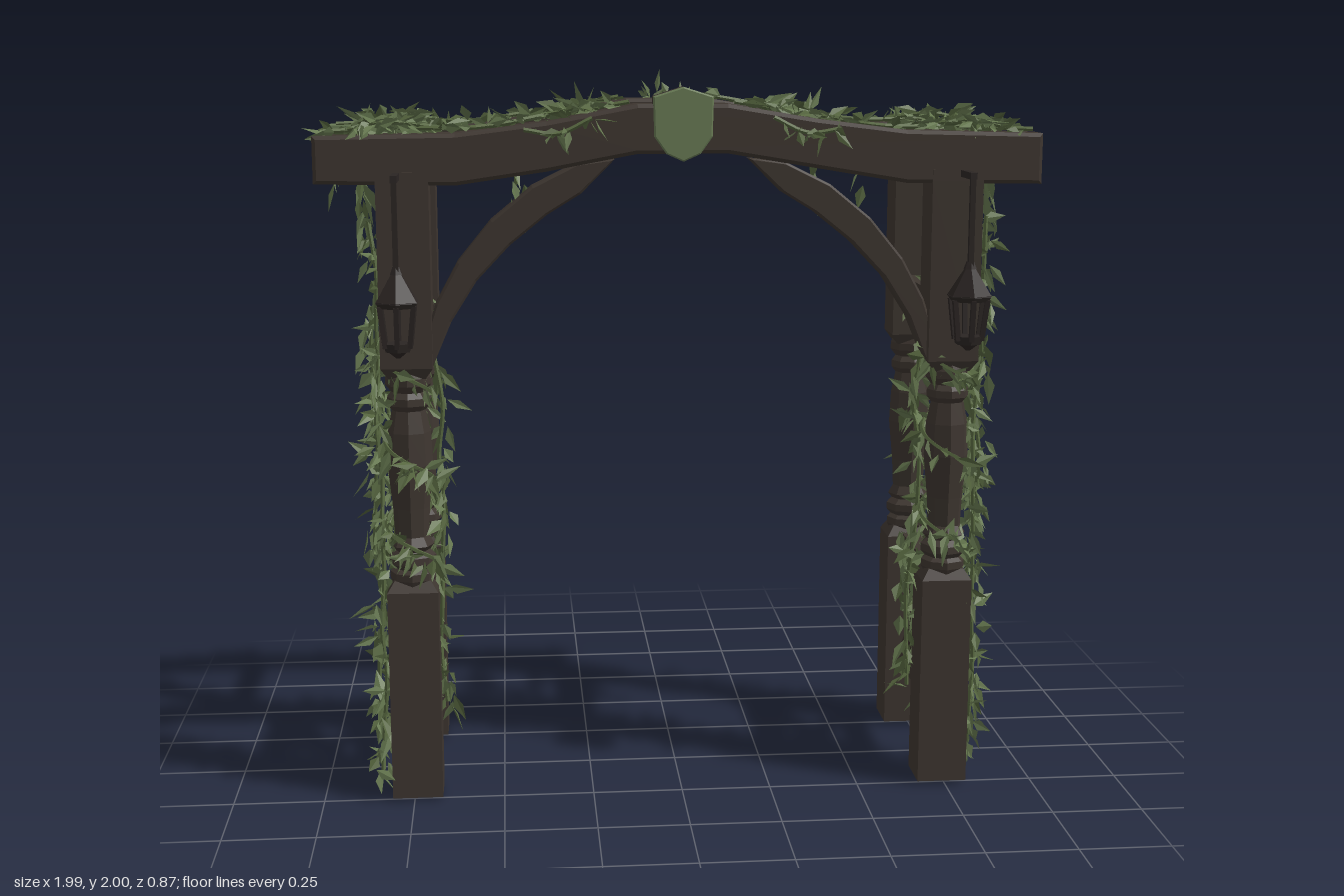
import * as THREE from 'three';
import { mergeGeometries } from 'three/addons/utils/BufferGeometryUtils.js';

const V = (x, y, z) => new THREE.Vector3(x, y, z);
const material = (name, color, side = THREE.FrontSide) => {
  const m = new THREE.MeshStandardMaterial({ color, side });
  m.name = name;
  return m;
};

export function createModel() {
  const root = new THREE.Group();
  root.name = 'overgrownArbor';
  const wood = material('dark wood', 0x3e3630);
  const iron = material('dark iron', 0x2b2523);
  const moss = material('moss', 0x697b55);
  const leafLight = material('leaf', 0x65774f, THREE.DoubleSide);
  const leafDark = material('shaded leaf', 0x56663f, THREE.DoubleSide);

  let seed = 7;
  const rnd = (a = 0, b = 1) => {
    seed = (seed * 16807) % 2147483647;
    return a + (b - a) * (seed / 2147483647);
  };

  // Faceted mesh with flat normals
  function add(name, geo, mat, parent = root) {
    const g = geo.index ? geo.toNonIndexed() : geo;
    g.computeVertexNormals();
    const mesh = new THREE.Mesh(g, mat);
    mesh.name = name;
    parent.add(mesh);
    return mesh;
  }
  // Extruded outline in x, y with small worn bevels, spanning z0..z1
  function plank(points, z0, z1, b = 0.01) {
    const shape = new THREE.Shape(points.map(p => new THREE.Vector2(p[0], p[1])));
    const g = new THREE.ExtrudeGeometry(shape, {
      depth: z1 - z0 - 2 * b, bevelEnabled: true, bevelSize: b, bevelOffset: -b, bevelThickness: b, bevelSegments: 1
    });
    return g.translate(0, 0, z0 + b);
  }
  // Rectangular bar between two points
  function bar(name, a, b, w, mat = wood, parent = root, d = w) {
    const m = add(name, new THREE.BoxGeometry(w, d, a.distanceTo(b)), mat, parent);
    m.position.copy(a).add(b).multiplyScalar(0.5);
    m.quaternion.setFromUnitVectors(V(0, 0, 1), b.clone().sub(a).normalize());
    return m;
  }

  // Posts: square foot, turned middle, square head
  const zFront = 0.21, zBack = -0.285, postX = 0.74;
  const turned = [[0.045, 0.59], [0.062, 0.62], [0.062, 0.64], [0.05, 0.65], [0.064, 0.665], [0.064, 0.685], [0.048, 0.70],
    [0.06, 0.715], [0.046, 0.74], [0.05, 0.82], [0.062, 0.94], [0.058, 1.03], [0.046, 1.09], [0.058, 1.105], [0.058, 1.125],
    [0.047, 1.14], [0.062, 1.16], [0.062, 1.18], [0.05, 1.21]].map(p => new THREE.Vector2(p[0], p[1]));
  function squareBlock(y0, y1, capTop, capBottom) {
    const prof = [[0, y0], [capBottom ? 0.07 : 0.098, y0], [0.098, y0 + 0.03], [0.098, y1 - 0.03], [capTop ? 0.07 : 0.098, y1], [0, y1]];
    const g = new THREE.LatheGeometry(prof.map(p => new THREE.Vector2(p[0], p[1])), 4);
    return g.rotateY(Math.PI / 4).scale(1, 1, 0.9);
  }
  for (const sx of [-1, 1]) for (const z of [zFront, zBack]) {
    const post = new THREE.Group();
    post.name = (z > 0 ? 'front' : 'back') + (sx > 0 ? 'Left' : 'Right') + 'Post';
    add('postFoot', squareBlock(0, 0.62, true, false), wood, post);
    add('postTurning', new THREE.LatheGeometry(turned, 8), wood, post);
    add('postHead', squareBlock(1.18, 1.73, false, true), wood, post);
    post.position.set(sx * postX, 0, z);
    root.add(post);
  }

  // Bowed top beams
  const top = [[-0.97, 1.825], [-0.6, 1.83], [-0.36, 1.86], [-0.12, 1.905], [0.12, 1.905], [0.36, 1.865], [0.6, 1.835], [0.97, 1.825]];
  const under = [[0.97, 1.69], [0.6, 1.695], [0.36, 1.735], [0.12, 1.775], [-0.12, 1.775], [-0.36, 1.73], [-0.6, 1.695], [-0.97, 1.7]];
  add('frontBeam', plank([...under, ...top], 0.145, 0.27), wood);
  add('backBeam', plank([...under, ...top], -0.35, -0.23), wood);

  // Moss cap on one beam end and the keystone shield
  add('mossCap', new THREE.BoxGeometry(0.195, 0.02, 0.122).translate(-0.875, 1.822, -0.29), moss);
  const shield = [[-0.08, 1.925], [-0.077, 1.82], [-0.045, 1.775], [0, 1.755], [0.045, 1.775], [0.077, 1.82], [0.08, 1.925], [0, 1.95]];
  add('keystoneShield', plank(shield, 0.266, 0.282, 0.004), moss);
  add('keystoneBack', plank(shield, 0.225, 0.267, 0.004), wood);

  // Arched braces under the front beam
  const brace = [[-0.68, 1.19], [-0.62, 1.33], [-0.55, 1.44], [-0.46, 1.535], [-0.36, 1.615], [-0.27, 1.67], [-0.18, 1.76],
    [-0.28, 1.75], [-0.4, 1.69], [-0.51, 1.6], [-0.6, 1.49], [-0.66, 1.38], [-0.69, 1.29]];
  add('rightBrace', plank(brace, 0.165, 0.245, 0.006), wood);
  add('leftBrace', plank(brace.map(p => [-p[0], p[1]]).reverse(), 0.165, 0.245, 0.006), wood);

  // Ties, rails and diagonals joining front and back
  bar('centreTie', V(0, 1.8, -0.25), V(0, 1.8, 0.17), 0.045);
  for (const sx of [-1, 1]) {
    const x = sx * postX;
    bar('middleTie', V(x, 1.36, -0.25), V(x, 1.36, 0.17), 0.08, wood, root, 0.055);
    bar('upperRail', V(x, 0.575, -0.25), V(x, 0.575, 0.17), 0.05);
    bar('lowerRail', V(x, 0.215, -0.25), V(x, 0.215, 0.17), 0.05);
    bar('longDiagonal', V(x, 0.24, 0.14), V(x, 0.56, -0.2), 0.05);
    bar('shortDiagonal', V(x, 0.4, -0.02), V(x, 0.23, -0.2), 0.05);
  }

  // Hanging lanterns
  for (const sx of [-1, 1]) {
    const l = new THREE.Group();
    l.name = sx > 0 ? 'leftLantern' : 'rightLantern';
    l.position.set(sx * 0.755, 0, 0.37);
    root.add(l);
    bar('bracket', V(0, 1.72, -0.12), V(0, 1.72, 0.015), 0.018, iron, l);
    bar('chain', V(0, 1.72, 0.004), V(0, 1.47, 0.004), 0.014, iron, l);
    add('lanternRoof', new THREE.CylinderGeometry(0.014, 0.062, 0.075, 6).translate(0, 1.44, 0), iron, l);
    add('lanternEave', new THREE.CylinderGeometry(0.062, 0.052, 0.016, 6).translate(0, 1.397, 0), iron, l);
    add('lanternFinial', new THREE.CylinderGeometry(0.01, 0.018, 0.02, 6).translate(0, 1.485, 0), iron, l);
    add('lanternBase', new THREE.CylinderGeometry(0.042, 0.036, 0.022, 6).translate(0, 1.285, 0), iron, l);
    add('lanternTip', new THREE.CylinderGeometry(0.028, 0.006, 0.018, 6).translate(0, 1.265, 0), iron, l);
    for (let i = 0; i < 6; i++) {
      const c = Math.sin(i * Math.PI / 3), s = Math.cos(i * Math.PI / 3);
      bar('lanternStrut', V(c * 0.051, 1.395, s * 0.051), V(c * 0.037, 1.285, s * 0.037), 0.013, iron, l);
    }
  }

  // Foliage collects folded leaf blades and thin stems into a few meshes
  function foliage(name, grow) {
    const bins = [[], []], stems = [];
    const leaf = (p, dir, len, wid) => {
      const d = dir.clone().normalize();
      const s = V(rnd(-1, 1), rnd(-0.4, 0.4), rnd(-1, 1)).cross(d).normalize();
      const n = d.clone().cross(s).multiplyScalar(wid * 0.3);
      const mid = p.clone().addScaledVector(d, len * 0.4);
      const tip = p.clone().addScaledVector(d, len).add(n);
      const a = mid.clone().addScaledVector(s, wid / 2).add(n), b = mid.clone().addScaledVector(s, -wid / 2).add(n);
      const bin = bins[rnd() < 0.6 ? 0 : 1];
      for (const q of [p, a, tip, p, tip, b]) bin.push(q.x, q.y, q.z);
    };
    const vine = (pts, count, spread = 0.02, size = 0.07, droop = 0.7, lift = 1) => {
      const curve = new THREE.CatmullRomCurve3(pts);
      stems.push(new THREE.TubeGeometry(curve, pts.length * 4, 0.006, 4));
      for (let i = 0; i < count; i++) {
        const p = curve.getPoint(rnd()).add(V(rnd(-1, 1), rnd(-1, 1) * lift, rnd(-1, 1)).multiplyScalar(spread));
        leaf(p, V(rnd(-0.8, 0.8), rnd(-1, 1) * lift - droop, rnd(-0.8, 0.8)), size * rnd(0.6, 1.3), size * rnd(0.3, 0.52));
      }
    };
    // Vine lying flat along a beam
    const creeper = (pts, count, spread = 0.025) => vine(pts, count, spread, 0.07, 0, 0.3);
    // Row of strands hanging from a to b, with length given by drop(t)
    const curtain = (a, b, count, drop, spread = 0.03) => {
      for (let i = 0; i < count; i++) {
        const t = rnd(), total = drop(t) * rnd(0.4, 1);
        const p = a.clone().lerp(b, t).add(V(rnd(-spread, spread), rnd(-0.01, 0.02), rnd(-0.01, 0.01)));
        for (let y = 0; y < total; y += 0.045)
          leaf(p.clone().add(V(rnd(-0.008, 0.008), -y, rnd(-0.008, 0.008))), V(rnd(-0.3, 0.3), -1, rnd(-0.3, 0.3)), rnd(0.06, 0.095), rnd(0.018, 0.036));
      }
    };
    grow(vine, curtain, creeper);
    const group = new THREE.Group();
    group.name = name;
    root.add(group);
    bins.forEach((bin, i) => {
      const g = new THREE.BufferGeometry();
      g.setAttribute('position', new THREE.Float32BufferAttribute(bin, 3));
      add(i ? 'shadedLeaves' : 'leaves', g, i ? leafDark : leafLight, group);
    });
    add('stems', mergeGeometries(stems), leafDark, group);
  }

  for (const sx of [-1, 1]) {
    const side = sx > 0 ? 'left' : 'right', x = sx * postX;
    foliage(side + 'PostIvy', vine => {
      // Vines up the outer, inner and rear faces of the front post
      const climb = (dx, dz, y0, y1, n, z = zFront) => {
        const pts = [];
        for (let y = y0; y <= y1; y += 0.14) pts.push(V(x + sx * dx + rnd(-0.012, 0.012), y, z + dz + rnd(-0.03, 0.03)));
        vine(pts, n);
      };
      climb(0.085, 0, 0.06, 1.7, 150);
      climb(0.095, -0.06, 0.1, 1.4, 90);
      climb(-0.08, -0.03, 0.25, 1.3, 75);
      climb(0, -0.08, 0.1, 1.7, 100);
      climb(0.085, -0.04, 0.05, 1.1, 50, zBack);
      climb(0.02, -0.068, 0.06, 1.1, 40, zBack);
      // Spiral around the turned middle
      const spiral = [];
      for (let i = 0; i <= 24; i++) spiral.push(V(x + 0.068 * Math.cos(i * 0.7), 0.66 + i * 0.026, zFront + 0.062 * Math.sin(i * 0.7)));
      vine(spiral, 130, 0.015);
    });
    foliage(side + 'HangingIvy', (vine, curtain) => {
      curtain(V(x, 0.6, 0.14), V(x, 0.6, -0.21), 70, t => 0.33 - 0.3 * t, 0.05);
      curtain(V(x, 1.4, 0.14), V(x, 1.38, -0.2), 42, t => 0.16 - 0.08 * t, 0.045);
      curtain(V(x, 1.3, -0.06), V(x, 1.3, -0.08), 3, () => 0.24, 0.01);
      curtain(V(x, 1.82, 0.12), V(x, 1.81, -0.22), 28, () => 0.06, 0.05);
      curtain(V(x, 1.8, 0.03), V(x, 1.8, 0), 4, () => 0.34, 0.03);
      vine([V(x, 0.6, 0.16), V(x + sx * 0.03, 0.59, 0), V(x, 0.59, -0.23)], 65, 0.02);
      vine([V(x, 1.5, 0.14), V(x + sx * 0.02, 1.41, 0.06), V(x, 1.39, -0.1), V(x, 1.32, -0.23)], 55);
      vine([V(x, 1.84, 0.16), V(x + sx * 0.02, 1.82, 0), V(x, 1.83, -0.25)], 35);
      // Outer loop between the beam ends
      vine([V(sx * 0.82, 1.84, 0.16), V(sx * 0.91, 1.8, 0.06), V(sx * 0.92, 1.78, -0.08), V(sx * 0.88, 1.83, -0.25)], 45, 0.02, 0.065, 1);
      // Trailing tips off the beam ends
      curtain(V(sx * 0.97, 1.8, -0.38), V(sx * 0.97, 1.8, -0.3), 3, () => 0.18, 0.01);
      curtain(V(sx * 0.85, 1.86, -0.37), V(sx * 0.62, 1.86, -0.365), 6, () => 0.16, 0.02);
      curtain(V(sx * 0.86, 1.7, 0.2), V(sx * 0.84, 1.7, 0.1), 4, () => 0.15, 0.02);
      curtain(V(sx * 0.5, 1.73, 0.22), V(sx * 0.36, 1.75, 0.2), 2, () => 0.13, 0.01);
    });
    foliage(side + 'BeamIvy', (vine, curtain, creeper) => {
      for (const z of [zFront, zBack]) {
        creeper([V(sx * 0.95, 1.835, z + 0.02), V(sx * 0.75, 1.842, z - 0.03), V(sx * 0.55, 1.845, z + 0.03), V(sx * 0.36, 1.872, z - 0.03), V(sx * 0.14, 1.91, z + 0.01)], 34, 0.015);
        creeper([V(sx * 0.88, 1.84, z), V(sx * 0.78, 1.86, z + 0.03), V(sx * 0.66, 1.845, z - 0.04)], z > 0 ? 60 : 20, 0.03);
      }
      creeper([V(sx * 0.42, 1.865, 0.24), V(sx * 0.3, 1.885, 0.18), V(sx * 0.22, 1.895, 0.22)], 45, 0.03);
      // Sprays on the inner and rear faces
      vine([V(sx * 0.8, 1.8, 0.12), V(sx * 0.66, 1.82, 0.12), V(sx * 0.5, 1.81, 0.12), V(sx * 0.32, 1.84, 0.13)], 45, 0.02, 0.07, 0.4, 0.5);
      vine([V(sx * 0.66, 1.83, -0.36), V(sx * 0.5, 1.835, -0.37), V(sx * 0.36, 1.865, -0.365)], 20, 0.015, 0.06, 0.3, 0.5);
      // Tufts on the front face of the beam
      vine([V(sx * 0.42, 1.84, 0.277), V(sx * 0.33, 1.83, 0.278), V(sx * 0.24, 1.87, 0.277)], 14, 0.01, 0.06, 0.5, 0.5);
    });
  }
  foliage('centreSprig', vine => vine([V(-0.06, 1.89, -0.35), V(0, 1.9, -0.37), V(0.06, 1.89, -0.35)], 22, 0.02, 0.06, 0.2));
  return root;
}
